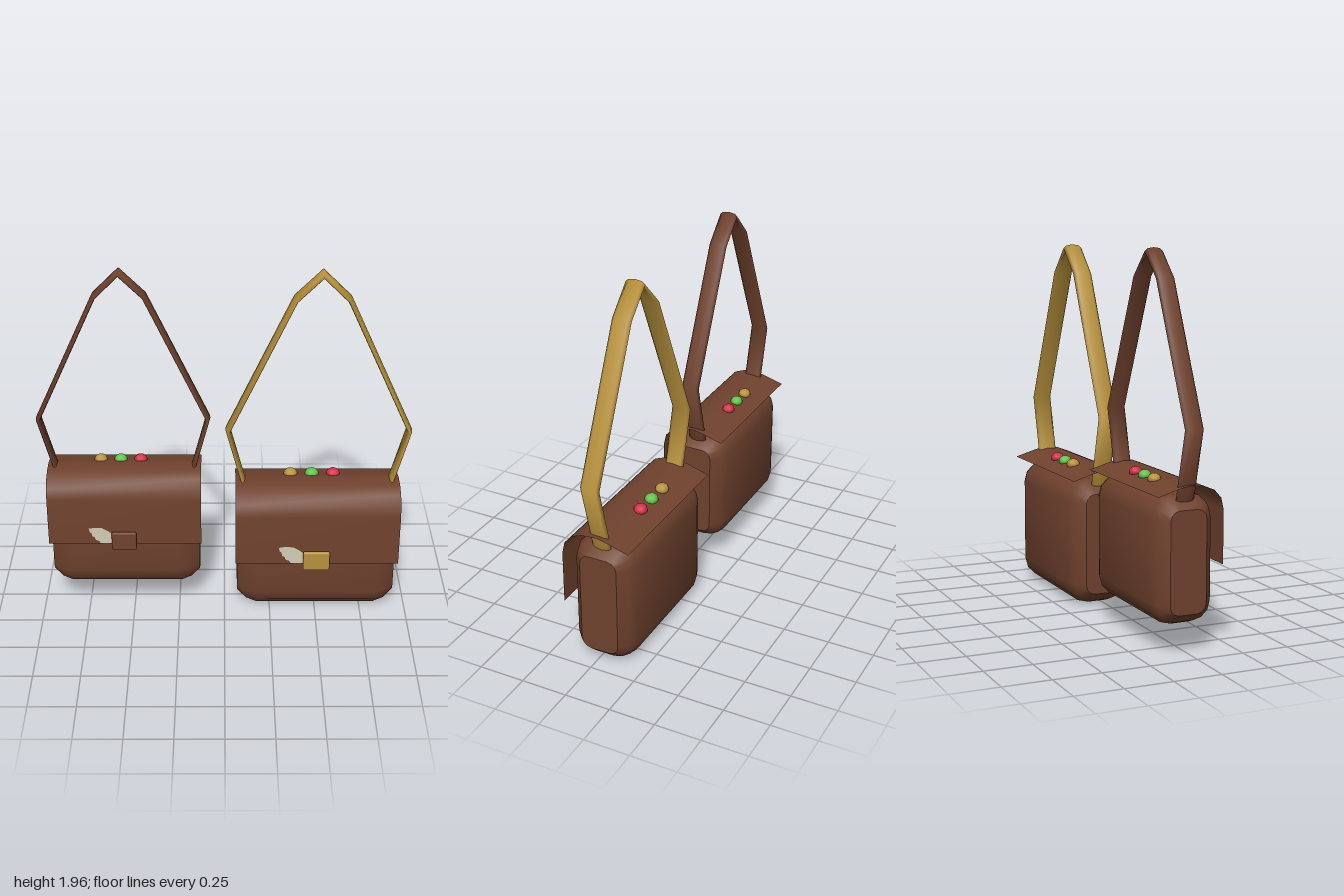
import * as THREE from 'three';
import { toCreasedNormals } from 'three/addons/utils/BufferGeometryUtils.js';
import { RoundedBoxGeometry } from 'three/addons/geometries/RoundedBoxGeometry.js';

function flat(name, color, side = THREE.FrontSide) {
  const m = new THREE.MeshStandardMaterial({ color, side });
  m.name = name;
  return m;
}

// Skin a list of equal-length closed rings of [x, y, z] points.
function loft(rings) {
  const n = rings[0].length, index = [];
  for (let i = 0; i < rings.length - 1; i++) {
    for (let j = 0; j < n; j++) {
      const a = i * n + j, d = i * n + (j + 1) % n, b = a + n, c = d + n;
      index.push(a, b, d, b, c, d);
    }
  }
  const g = new THREE.BufferGeometry();
  g.setAttribute('position', new THREE.Float32BufferAttribute(rings.flat(2), 3));
  g.setIndex(index);
  g.computeVertexNormals();
  return g;
}

// Close both ends of a ring list onto their centres.
function capped(rings) {
  const collapse = ring => {
    const c = [0, 1, 2].map(k => ring.reduce((s, p) => s + p[k], 0) / ring.length);
    return ring.map(() => c);
  };
  return [collapse(rings[0]), ...rings, collapse(rings[rings.length - 1])];
}

// Rounded box body whose ends narrow to flat side panels.
function bodyGeometry() {
  const hx = 0.4325, hy = 0.345, hz = 0.172, radius = 0.12, steps = 3;
  const ring = (x, inset) => {
    const r = radius - inset, pts = [];
    for (let q = 0; q < 4; q++) {
      const cz = (q === 0 || q === 3 ? 1 : -1) * (hz - radius);
      const cy = (q < 2 ? 1 : -1) * (hy - radius);
      for (let s = 0; s <= steps; s++) {
        const t = (q + s / steps) * Math.PI / 2;
        pts.push([x, hy + cy + r * Math.sin(t), cz + r * Math.cos(t)]);
      }
    }
    return pts;
  };
  const ends = [[0, 0.068], [0.05, 0.021], [0.105, 0]];
  const rings = [
    ...ends.map(([d, inset]) => ring(-hx + d, inset)),
    ...ends.slice().reverse().map(([d, inset]) => ring(hx - d, inset)),
  ];
  return toCreasedNormals(loft(capped(rings)), 0.66);
}

// Flat oval strap with mitred bends.
function strapGeometry() {
  const half = [[-0.38, 0.655], [-0.402, 0.74], [-0.483, 1.045], [-0.138, 1.795]];
  const path = [...half, [0, 1.932], ...half.slice().reverse().map(([x, y]) => [-x, y])]
    .map(p => new THREE.Vector2(...p));
  const rings = path.map((p, i) => {
    const before = p.clone().sub(path[Math.max(i - 1, 0)]).normalize();
    const after = path[Math.min(i + 1, path.length - 1)].clone().sub(p).normalize();
    const t = before.clone().add(after).normalize();
    const cosHalf = Math.max(t.dot(after), t.dot(before));
    const r = 0.014 / cosHalf;
    return Array.from({ length: 8 }, (_, k) => {
      const a = k * Math.PI / 4;
      return [p.x + t.y * r * Math.cos(a), p.y - t.x * r * Math.cos(a), 0.053 * Math.sin(a)];
    });
  });
  return loft(capped(rings));
}

// Thin sheet hanging over the front and lipping out at the back.
function flapGeometry() {
  const profile = [[0.195, 0.32], [0.195, 0.61], [0.18, 0.675], [0.14, 0.72],
    [0.08, 0.743], [0, 0.75], [-0.06, 0.738], [-0.18, 0.703]];
  const g = new THREE.PlaneGeometry(0.886, 1, 1, profile.length - 1);
  const pos = g.attributes.position;
  for (let i = 0; i < pos.count; i++) {
    const [z, y] = profile[profile.length - 1 - Math.floor(i / 2)];
    pos.setXYZ(i, pos.getX(i), y, z);
  }
  g.computeVertexNormals();
  return g;
}

// Feather-shaped ornament with a scalloped lower edge.
function featherGeometry() {
  return new THREE.ShapeGeometry(new THREE.Shape([
    [-0.208, 0.424], [-0.203, 0.402], [-0.193, 0.392], [-0.19, 0.374], [-0.176, 0.364],
    [-0.17, 0.348], [-0.152, 0.341], [-0.143, 0.328], [-0.118, 0.322], [-0.07, 0.326],
    [-0.07, 0.385], [-0.098, 0.408], [-0.13, 0.427], [-0.17, 0.43],
  ].map(p => new THREE.Vector2(...p))));
}

export function createModel() {
  const leather = flat('brown leather', 0x70422e);
  const sheet = flat('brown flap leather', 0x70422e, THREE.DoubleSide);
  const gold = flat('gold', 0xb8923c);
  const cream = flat('cream', 0xd4ccb8, THREE.DoubleSide);
  const green = flat('green', 0x62c24c);
  const red = flat('red', 0xd2304a);

  const body = bodyGeometry(), flap = flapGeometry(), strap = strapGeometry();
  const feather = featherGeometry();
  const clasp = new RoundedBoxGeometry(0.144, 0.114, 0.022, 2, 0.009);
  const bead = new THREE.SphereGeometry(1, 10, 8);

  function makeBag(name, trim) {
    const bag = new THREE.Group();
    bag.name = name;
    const add = (part, geometry, material, x = 0, y = 0, z = 0) => {
      const mesh = new THREE.Mesh(geometry, material);
      mesh.name = part;
      mesh.position.set(x, y, z);
      bag.add(mesh);
      return mesh;
    };
    add('body', body, leather);
    add('flap', flap, sheet);
    add('strap', strap, trim);
    add('feather', feather, cream, 0, 0, 0.2);
    add('clasp', clasp, trim, -0.004, 0.349, 0.213);
    // Row of beads along the top
    [gold, green, red].forEach((m, i) =>
      add('bead', bead, m, (i - 1) * 0.116 - 0.026, 0.743, -0.06).scale.set(0.038, 0.03, 0.036));
    return bag;
  }

  const model = new THREE.Group();
  model.name = 'handbags';
  const large = makeBag('large bag', gold);
  large.position.set(0.502, 0, -0.02);
  const small = makeBag('small bag', leather);
  small.scale.setScalar(0.93);
  small.position.set(-0.5375, 0.144, -0.02);
  model.add(large, small);
  return model;
}
